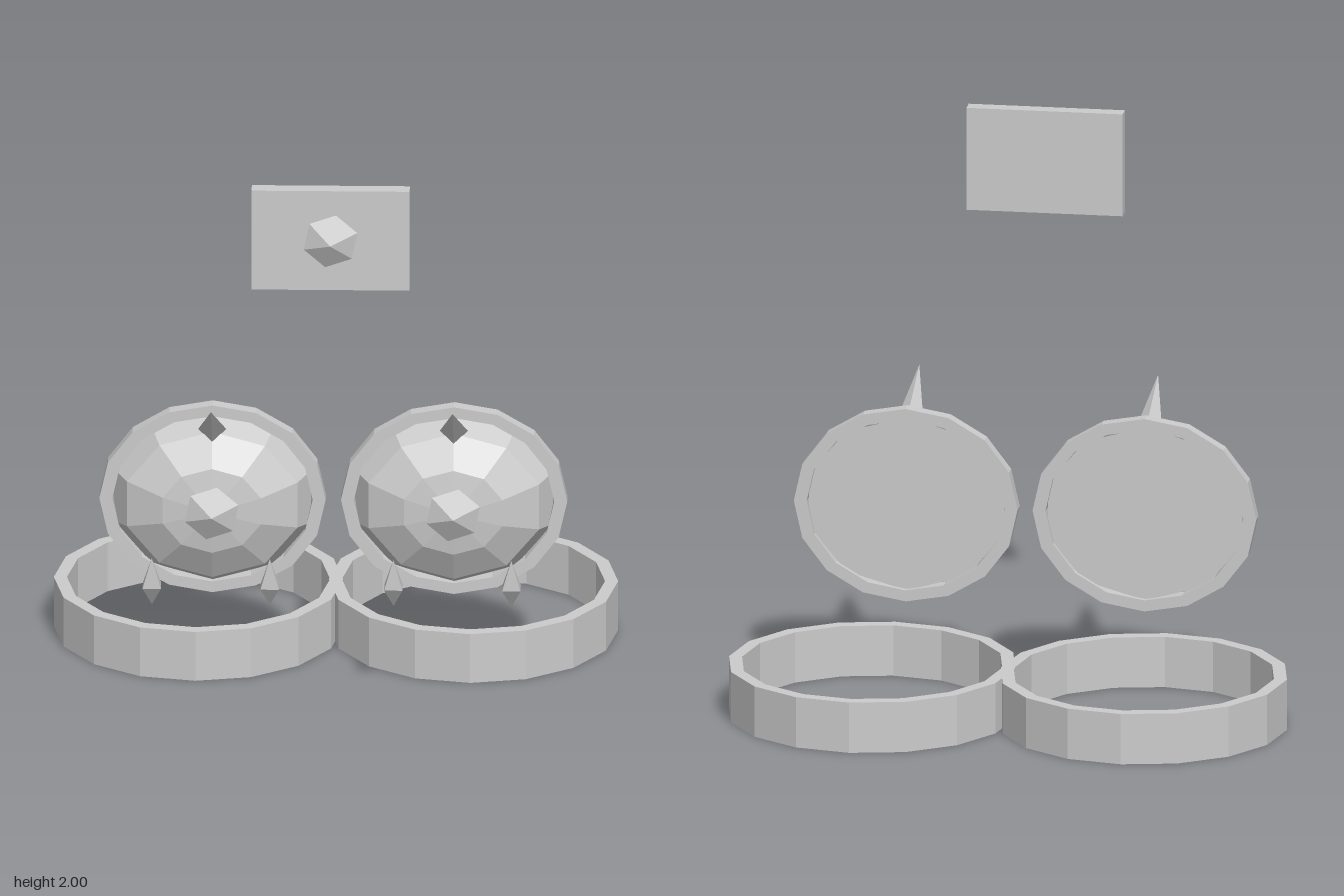
import * as THREE from 'three';

const grey = new THREE.MeshStandardMaterial({ color: 0xcccccc, flatShading: true });

function add(parent, name, geometry, x = 0, y = 0, z = 0) {
  const mesh = new THREE.Mesh(geometry, grey);
  mesh.name = name;
  mesh.position.set(x, y, z);
  parent.add(mesh);
  return mesh;
}

// 16-sided square-section band of outer radius 1, standing on y = 0
function band(inner, height) {
  const profile = [[inner, 0], [1, 0], [1, height], [inner, height], [inner, 0]];
  return new THREE.LatheGeometry(profile.map(([r, y]) => new THREE.Vector2(r, y)), 16);
}

// Six-sided double pyramid facing +z
function gem() {
  return new THREE.SphereGeometry(1, 6, 2)
    .rotateX(Math.PI / 2).rotateZ(THREE.MathUtils.degToRad(19)).scale(0.1, 0.1, 0.053);
}

// Four-sided horn from a base centre to a tip, in the plane x = 0
function horn(base, tip, radius) {
  const axis = tip.clone().sub(base);
  const geometry = new THREE.ConeGeometry(radius, axis.length(), 4);
  const turn = new THREE.Quaternion().setFromUnitVectors(new THREE.Vector3(0, 1, 0), axis.normalize());
  const middle = base.clone().add(tip).multiplyScalar(0.5);
  return geometry.applyQuaternion(turn).translate(middle.x, middle.y, middle.z);
}

// Leaning double pyramid with a square waist
function fang() {
  const top = new THREE.ConeGeometry(0.046, 0.115, 4, 1, true).rotateY(Math.PI / 4).translate(0, 0.0575, 0);
  const bottom = new THREE.ConeGeometry(0.046, 0.078, 4, 1, true)
    .rotateY(Math.PI / 4).rotateX(Math.PI).translate(0, -0.039, 0);
  return [top, bottom].map((g) => {
    const p = g.attributes.position;
    for (let i = 0; i < p.count; i++) {
      p.setZ(i, p.getZ(i) + p.getY(i) * 0.26);
    }
    return g;
  });
}

function makeShield(side) {
  const shield = new THREE.Group();
  shield.name = side > 0 ? 'leftShield' : 'rightShield';
  shield.position.set(side * 0.428, 0.656, 0);

  // Oval rim
  add(shield, 'rim', band(0.885, 0.052).rotateX(Math.PI / 2).scale(0.401, 0.354, 1), 0, 0, 0.184);

  // Faceted dome with a flat back
  const dome = new THREE.SphereGeometry(1, 10, 3, Math.PI / 2, Math.PI * 2, 0, Math.PI / 2)
    .rotateX(Math.PI / 2).scale(0.367, 0.318, 0.177);
  add(shield, 'dome', dome, 0, 0, 0.203);
  const back = new THREE.CircleGeometry(1, 10, Math.PI / 2).rotateY(Math.PI).scale(0.367, 0.318, 1);
  add(shield, 'domeBack', back, 0, 0, 0.203);

  add(shield, 'gem', gem(), 0, 0, 0.381);

  // Horn on the upper edge
  add(shield, 'horn', horn(new THREE.Vector3(0, 0.28, 0.275), new THREE.Vector3(0, 0.43, 0.5), 0.05));

  // Pair of floating fangs below
  for (const s of [-1, 1]) {
    const group = new THREE.Group();
    group.name = 'fang';
    group.position.set(s * 0.209, -0.226, 0.509);
    fang().forEach((g, i) => add(group, i ? 'fangRoot' : 'fangTip', g));
    shield.add(group);
  }
  return shield;
}

export function createModel() {
  const model = new THREE.Group();
  model.name = 'armourSet';

  for (const side of [-1, 1]) {
    // Ground bands
    add(model, side > 0 ? 'leftBand' : 'rightBand',
      band(0.909, 0.185).scale(0.513, 1, 0.535), side * 0.487, 0, -0.208);
    model.add(makeShield(side));
  }

  // Raised plate with its gem
  add(model, 'plate', new THREE.BoxGeometry(0.56, 0.375, 0.055), 0, 1.8125, 0.66);
  add(model, 'plateGem', gem(), 0, 1.81, 0.688);
  return model;
}
